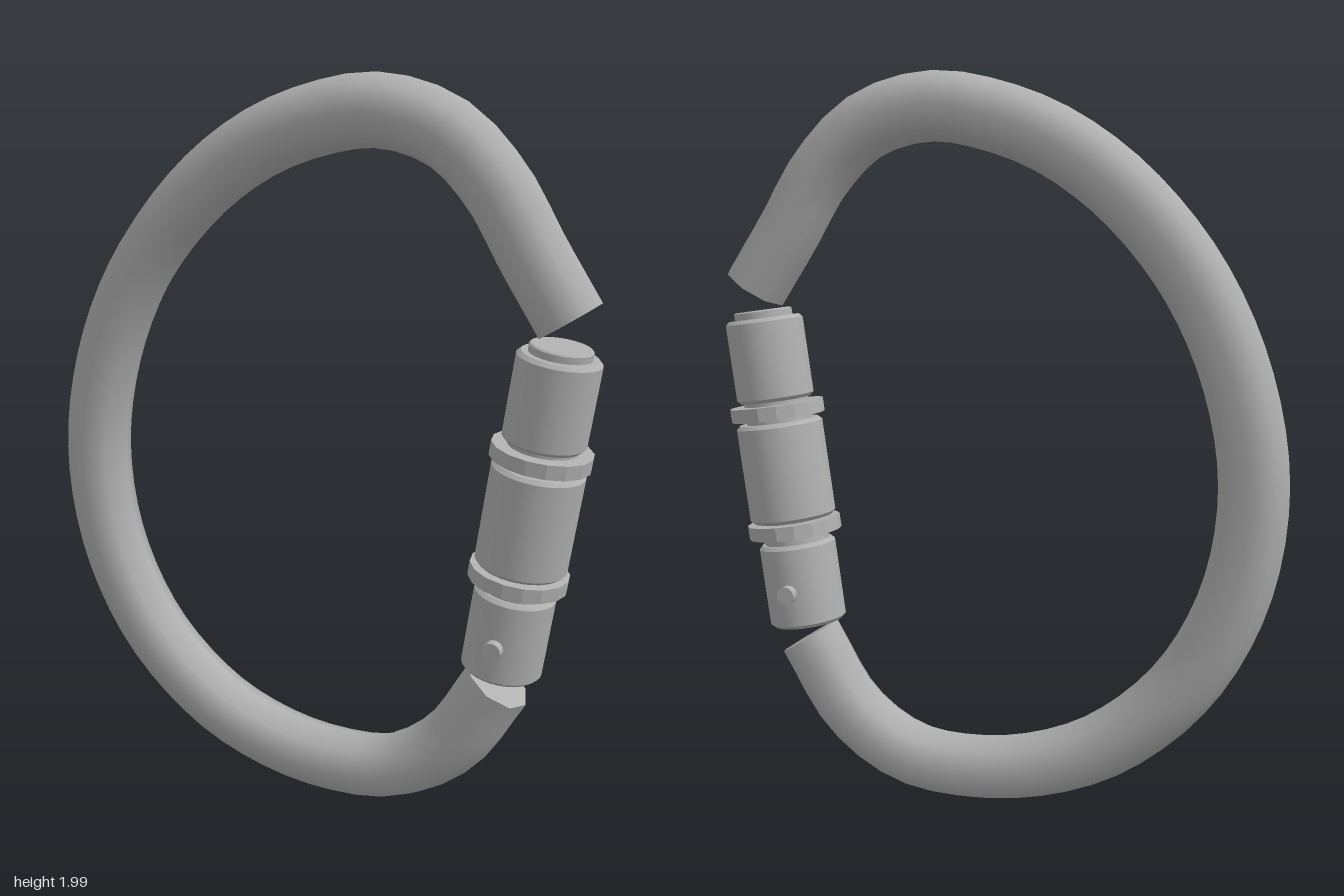
import * as THREE from 'three';
import { toCreasedNormals } from 'three/addons/utils/BufferGeometryUtils.js';

const metal = new THREE.MeshStandardMaterial({ color: 0xb0b0b0 });
metal.name = 'grey metal';

function add(parent, name, geometry) {
  const mesh = new THREE.Mesh(geometry, metal);
  mesh.name = name;
  parent.add(mesh);
  return mesh;
}

// Turned part from [radius, height] pairs, bottom to top, with sharp edges
function turned(profile, sides, crease) {
  const points = profile.map(([r, y]) => new THREE.Vector2(r, y));
  return toCreasedNormals(new THREE.LatheGeometry(points, sides), crease);
}

// Solid cylinder with small chamfers
function barrel(r, y0, y1, c = 0.01) {
  return turned([[0, y0], [r - c, y0], [r, y0 + c], [r, y1 - c], [r - c, y1], [0, y1]], 32, 0.5);
}

export function createModel() {
  const model = new THREE.Group();
  model.name = 'carabiner';

  // Bent rod: open D-shaped loop, octagonal section
  const path = new THREE.CatmullRomCurve3([
    [0.69, 1.428], [0.59, 1.58], [0.49, 1.74], [0.36, 1.86], [0.18, 1.908],
    [-0.01, 1.875], [-0.18, 1.802], [-0.36, 1.665], [-0.53, 1.455], [-0.645, 1.2],
    [-0.692, 0.92], [-0.65, 0.635], [-0.52, 0.385], [-0.32, 0.205], [-0.12, 0.122],
    [0.08, 0.098], [0.26, 0.125], [0.42, 0.235], [0.548, 0.44],
  ].map(([x, y]) => new THREE.Vector3(x, y, 0)));
  const rodRadius = 0.092;
  add(model, 'bentRod', new THREE.TubeGeometry(path, 60, rodRadius, 8, false));

  // Flat ends of the rod
  for (const [t, sign] of [[0, -1], [1, 1]]) {
    const cap = add(model, t ? 'rodLowerEnd' : 'rodUpperEnd', new THREE.CircleGeometry(rodRadius, 8));
    cap.position.copy(path.getPointAt(t));
    cap.lookAt(cap.position.clone().addScaledVector(path.getTangentAt(t), sign));
  }

  // Tilted locking gate, built upward along its own axis
  const gate = new THREE.Group();
  gate.name = 'gate';
  gate.position.set(0.553, 0.482, 0);
  gate.rotation.z = -0.135;
  model.add(gate);

  add(gate, 'lowerBarrel', barrel(0.107, 0, 0.235));
  add(gate, 'core', barrel(0.09, 0.02, 0.86));
  add(gate, 'sleeve', barrel(0.12, 0.3, 0.578));
  add(gate, 'upperBarrel', barrel(0.107, 0.638, 0.869));
  add(gate, 'topStud', barrel(0.08, 0.85, 0.891, 0.004));

  // Faceted collars above and below the sleeve
  for (const [name, y] of [['lowerCollar', 0.257], ['upperCollar', 0.59]]) {
    add(gate, name, turned([[0.08, y], [0.13, y], [0.13, y + 0.038], [0.08, y + 0.038]], 16, 0.3));
  }

  // Hinge pin through the lower barrel
  const pin = add(gate, 'hingePin', new THREE.CylinderGeometry(0.025, 0.025, 0.262, 12));
  pin.rotation.x = Math.PI / 2;
  pin.position.y = 0.104;

  return model;
}
